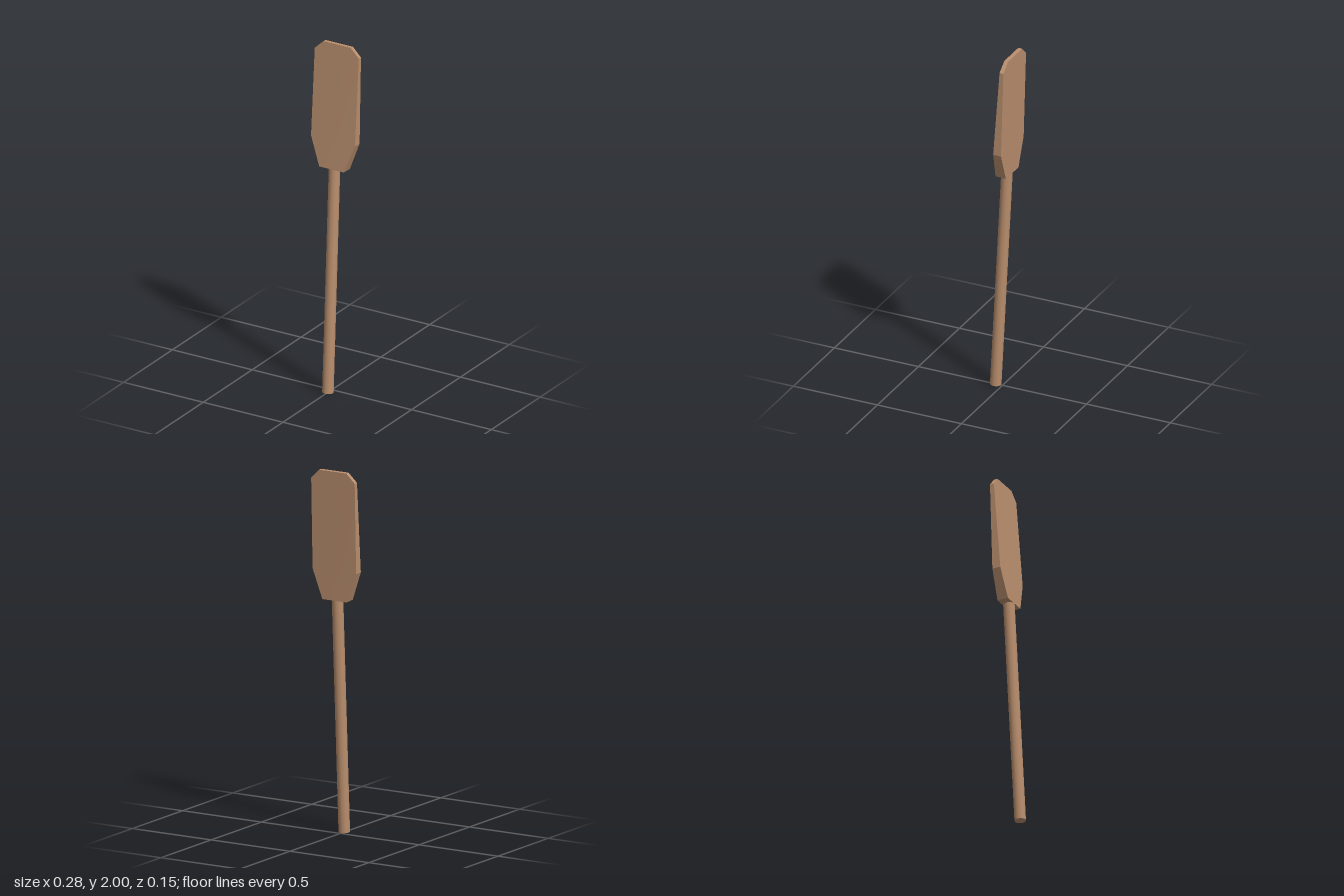
import * as THREE from 'three';
import { toCreasedNormals } from 'three/addons/utils/BufferGeometryUtils.js';

// Blade rows along the shaft: [height, half width, half thickness at ridge, at edge]
const ROWS = [
  [1.29, 0.077, 0.031, 0.031],
  [1.452, 0.138, 0.0265, 0.0235],
  [1.952, 0.138, 0.0125, 0.0115],
  [2.002, 0.086, 0.011, 0.011],
];

// Loft the rows as closed six-point rings, with both ends capped
function bladeGeometry() {
  const rings = ROWS.map(([y, w, ridge, edge]) => [
    [-w, y, edge], [0, y, ridge], [w, y, edge],
    [w, y, -edge], [0, y, -ridge], [-w, y, -edge],
  ]);
  const pos = [];
  const quad = (a, b, c, d) => pos.push(...a, ...b, ...c, ...a, ...c, ...d);
  for (let r = 0; r < rings.length - 1; r++) {
    for (let i = 0; i < 6; i++) {
      const j = (i + 1) % 6;
      quad(rings[r][i], rings[r][j], rings[r + 1][j], rings[r + 1][i]);
    }
  }
  const [bottom, top] = [rings[0], rings[rings.length - 1]];
  for (const i of [0, 1]) {
    quad(top[i], top[i + 1], top[4 - i], top[5 - i]);
    quad(bottom[5 - i], bottom[4 - i], bottom[i + 1], bottom[i]);
  }
  const geo = new THREE.BufferGeometry();
  geo.setAttribute('position', new THREE.Float32BufferAttribute(pos, 3));
  return toCreasedNormals(geo, 0.3);
}

export function createModel() {
  const wood = new THREE.MeshStandardMaterial({ color: 0xb98e6d });
  wood.name = 'wood';
  const model = new THREE.Group();
  model.name = 'paddle';

  // Round shaft, running a little way into the blade
  const length = 1.31;
  const shaft = new THREE.Mesh(new THREE.CylinderGeometry(0.031, 0.031, length, 32), wood);
  shaft.name = 'shaft';
  shaft.position.y = length / 2;

  // Tapered blade with clipped corners
  const blade = new THREE.Mesh(bladeGeometry(), wood);
  blade.name = 'blade';

  // The whole paddle leans slightly backwards
  const leaning = new THREE.Group();
  leaning.name = 'leaningPaddle';
  leaning.add(shaft, blade);
  leaning.rotation.x = -0.052;
  leaning.position.set(0, 0.0016, 0.04);
  model.add(leaning);
  return model;
}
